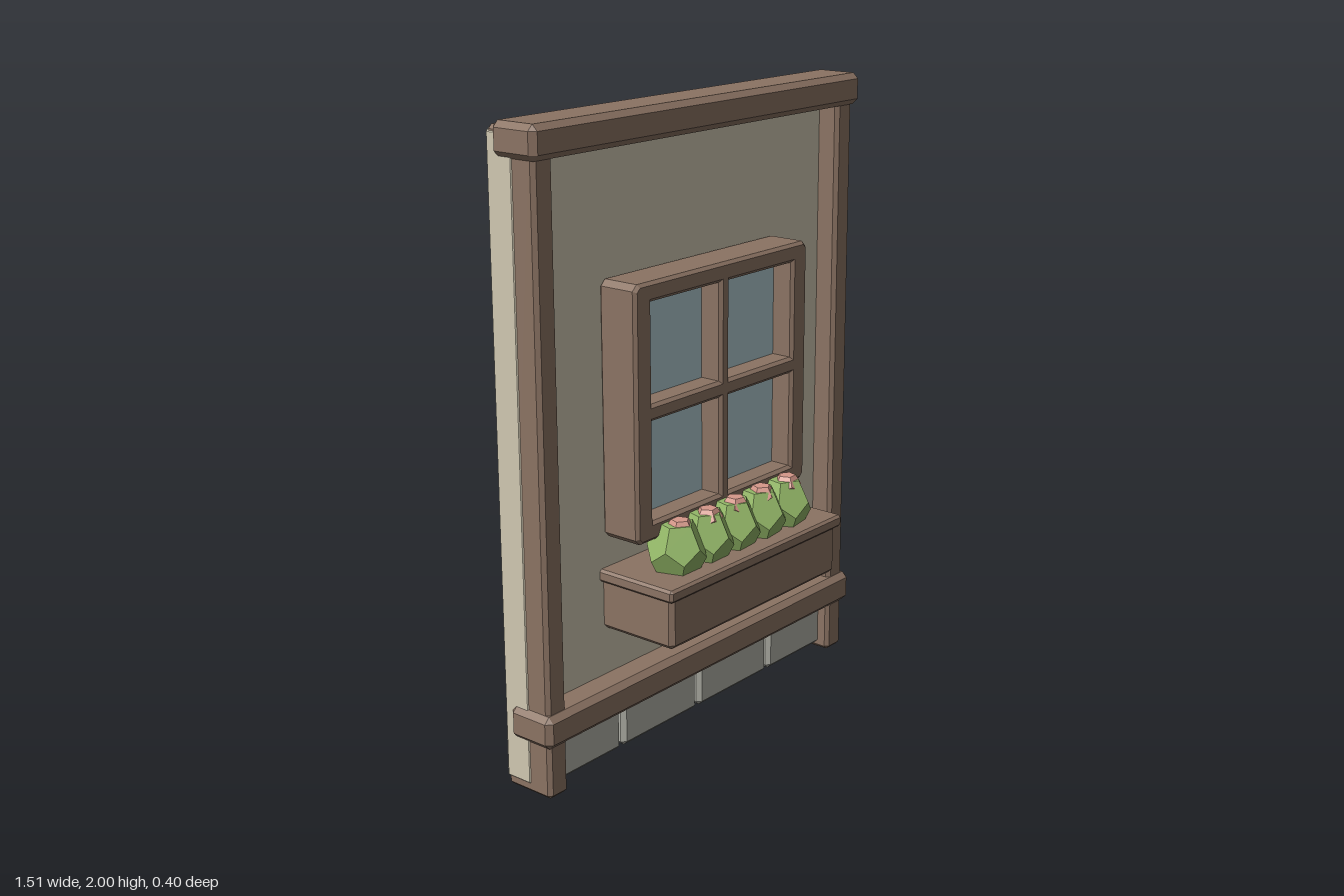
import * as THREE from 'three';
import { ConvexGeometry } from 'three/addons/geometries/ConvexGeometry.js';

function material(name, color) {
  const m = new THREE.MeshStandardMaterial({ color, flatShading: true });
  m.name = name;
  return m;
}

// Box with chamfered edges, given by its lower and upper limits
function chamferBox([x0, y0, z0], [x1, y1, z1], b) {
  const w = (x1 - x0) / 2, h = (y1 - y0) / 2, d = (z1 - z0) / 2;
  const points = [];
  for (const sx of [-1, 1]) for (const sy of [-1, 1]) for (const sz of [-1, 1]) {
    points.push(
      new THREE.Vector3(sx * w, sy * (h - b), sz * (d - b)),
      new THREE.Vector3(sx * (w - b), sy * h, sz * (d - b)),
      new THREE.Vector3(sx * (w - b), sy * (h - b), sz * d));
  }
  const g = new ConvexGeometry(points);
  g.translate((x0 + x1) / 2, (y0 + y1) / 2, (z0 + z1) / 2);
  return g;
}

function rectangle(path, x0, y0, x1, y1) {
  path.moveTo(x0, y0);
  path.lineTo(x1, y0);
  path.lineTo(x1, y1);
  path.lineTo(x0, y1);
  path.closePath();
  return path;
}

// Dodecahedron standing on a flat face
function pebble(radius, stretch, turn) {
  const g = new THREE.DodecahedronGeometry(radius);
  g.rotateX(-Math.atan(2 / (1 + Math.sqrt(5))));
  g.rotateY(turn);
  g.scale(1, stretch, 1);
  return g;
}

export function createModel() {
  const model = new THREE.Group();
  model.name = 'wallWithWindow';
  const plaster = material('plaster', 0xcfc7b1);
  const wood = material('wood', 0x8b7363);
  const stone = material('stone', 0xb0b0a7);
  const glass = material('glass', 0xaec8cf);
  const leaf = material('leaf', 0x94b868);
  const petal = material('petal', 0xd6988a);

  const add = (name, geometry, mat, parent = model) => {
    const mesh = new THREE.Mesh(geometry, mat);
    mesh.name = name;
    parent.add(mesh);
    return mesh;
  };

  // Plaster panel
  add('wallPanel', chamferBox([-0.738, 0.03, -0.187], [0.738, 1.975, -0.08], 0.01), plaster);

  // Corner posts
  for (const s of [-1, 1]) {
    const a = s * 0.655, b = s * 0.735;
    add(s > 0 ? 'leftPost' : 'rightPost',
      chamferBox([Math.min(a, b), 0.005, -0.183], [Math.max(a, b), 1.985, -0.008], 0.012), wood);
  }

  // Horizontal beams
  add('topBeam', chamferBox([-0.753, 1.9, -0.153], [0.753, 2, 0.012], 0.018), wood);
  add('bottomBeam', chamferBox([-0.753, 0.175, -0.153], [0.753, 0.278, 0.012], 0.018), wood);

  // Foundation stones
  const stones = new THREE.Group();
  stones.name = 'foundation';
  model.add(stones);
  for (let i = 0; i < 4; i++) {
    const c = (i - 1.5) * 0.367;
    add('foundationStone', chamferBox([c - 0.179, 0.02, -0.202], [c + 0.179, 0.195, -0.05], 0.014), stone, stones);
  }

  // Window frame with four openings
  const win = new THREE.Group();
  win.name = 'window';
  model.add(win);
  const outline = rectangle(new THREE.Shape(), -0.41, 0.725, 0.41, 1.513);
  const r = 0.018;
  outline.curves.length = 0;
  outline.setFromPoints([
    [-0.41 + r, 0.725], [0.41 - r, 0.725], [0.41, 0.725 + r], [0.41, 1.513 - r],
    [0.41 - r, 1.513], [-0.41 + r, 1.513], [-0.41, 1.513 - r], [-0.41, 0.725 + r],
  ].map(([x, y]) => new THREE.Vector2(x, y)));
  for (const [x0, x1] of [[-0.335, -0.022], [0.022, 0.335]]) {
    for (const [y0, y1] of [[0.785, 1.095], [1.147, 1.453]]) {
      outline.holes.push(rectangle(new THREE.Path(), x0, y0, x1, y1));
    }
  }
  const bevel = 0.01;
  const frame = new THREE.ExtrudeGeometry(outline, {
    depth: 0.14 - 2 * bevel, bevelEnabled: true, bevelSegments: 1,
    bevelSize: bevel, bevelThickness: bevel, bevelOffset: -bevel,
  });
  frame.translate(0, 0, -0.08 + bevel);
  add('windowFrame', frame, wood, win);
  const pane = new THREE.BoxGeometry(0.72, 0.7, 0.008);
  pane.translate(0, 1.119, -0.02);
  add('windowGlass', pane, glass, win);

  // Planter box and its rim
  const planter = new THREE.Group();
  planter.name = 'planter';
  model.add(planter);
  add('planterBox', chamferBox([-0.41, 0.428, -0.1], [0.41, 0.6, 0.19], 0.014), wood, planter);
  add('planterRim', chamferBox([-0.426, 0.585, -0.1], [0.426, 0.625, 0.203], 0.008), wood, planter);

  // Row of bushes with blossoms
  for (let i = 0; i < 5; i++) {
    const x = (i - 2) * 0.132;
    const bush = add('bush', pebble(0.092, 1.2, i * 1.3), leaf, planter);
    bush.position.set(x, 0.68, 0.086);
    const blossom = add('blossom', pebble(0.046, 1, i * 0.8), petal, planter);
    blossom.position.set(x, 0.745, 0.1);
  }

  return model;
}
